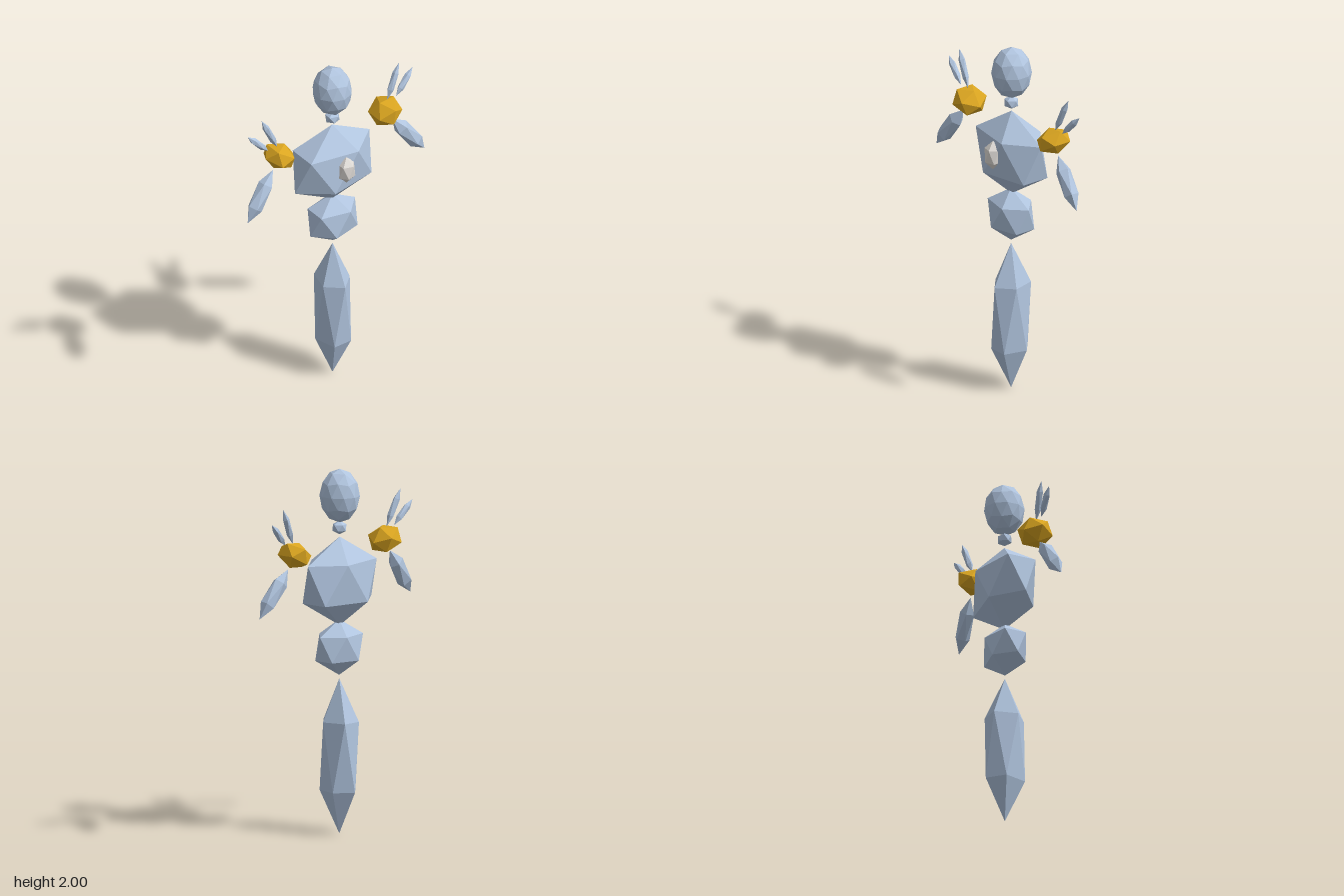
import * as THREE from 'three';

const stone = new THREE.MeshStandardMaterial({ color: 0xb0c4de });
stone.name = 'paleBlueStone';
const gold = new THREE.MeshStandardMaterial({ color: 0xdaa520 });
gold.name = 'gold';
const crystal = new THREE.MeshStandardMaterial({ color: 0xdfdbd6 });
crystal.name = 'whiteCrystal';

// Icosahedron standing on a vertex, stretched to the given radii; flat faces.
// At turn 0 one vertex of the upper ring points to +x.
function gem(name, material, radii, position, turn = 0, detail = 0) {
  const g = new THREE.IcosahedronGeometry(1, detail);
  g.rotateZ(-Math.atan(2 / (1 + Math.sqrt(5))));
  g.rotateY(turn);
  g.scale(...radii);
  g.computeVertexNormals();
  const mesh = new THREE.Mesh(g, material);
  mesh.name = name;
  mesh.position.set(...position);
  return mesh;
}

// Long gem stretched between two points
function shard(name, from, to, rx, rz) {
  const a = new THREE.Vector3(...from);
  const b = new THREE.Vector3(...to);
  const axis = b.clone().sub(a);
  const mid = a.clone().add(b).multiplyScalar(0.5);
  const mesh = gem(name, stone, [rx, axis.length() / 2, rz], mid.toArray());
  mesh.quaternion.setFromUnitVectors(new THREE.Vector3(0, 1, 0), axis.normalize());
  return mesh;
}

export function createModel() {
  const model = new THREE.Group();
  model.name = 'floatingGolem';

  // Body column
  model.add(
    gem('head', stone, [0.108, 0.147, 0.112], [0, 1.853, -0.02], 0, 1),
    gem('neck', stone, [0.045, 0.038, 0.042], [0, 1.678, -0.018]),
    gem('torso', stone, [0.28, 0.243, 0.16], [0, 1.385, -0.02]),
    gem('waist', stone, [0.168, 0.153, 0.12], [0, 1.022, -0.016]),
    gem('tailSpike', stone, [0.105, 0.425, 0.13], [0, 0.425, -0.017], -Math.PI / 2),
    gem('chestCrystal', crystal, [0.055, 0.084, 0.05], [0, 1.402, 0.11])
  );

  // Shoulders, shoulder spikes and arms
  for (const [side, s] of [['left', 1], ['right', -1]]) {
    const shoulder = gem(side + 'Shoulder', gold, [0.095, 0.074, 0.103], [s * 0.357, 1.571, -0.02]);
    shoulder.rotation.z = s * Math.PI / 6;
    model.add(
      shoulder,
      shard(side + 'InnerSpike', [s * 0.37, 1.635, -0.02], [s * 0.463, 1.835, -0.036], 0.021, 0.02),
      shard(side + 'OuterSpike', [s * 0.43, 1.635, -0.02], [s * 0.555, 1.765, -0.038], 0.021, 0.02),
      shard(side + 'Arm', [s * 0.595, 1.245, 0.015], [s * 0.402, 1.5, -0.015], 0.05, 0.045)
    );
  }
  return model;
}
